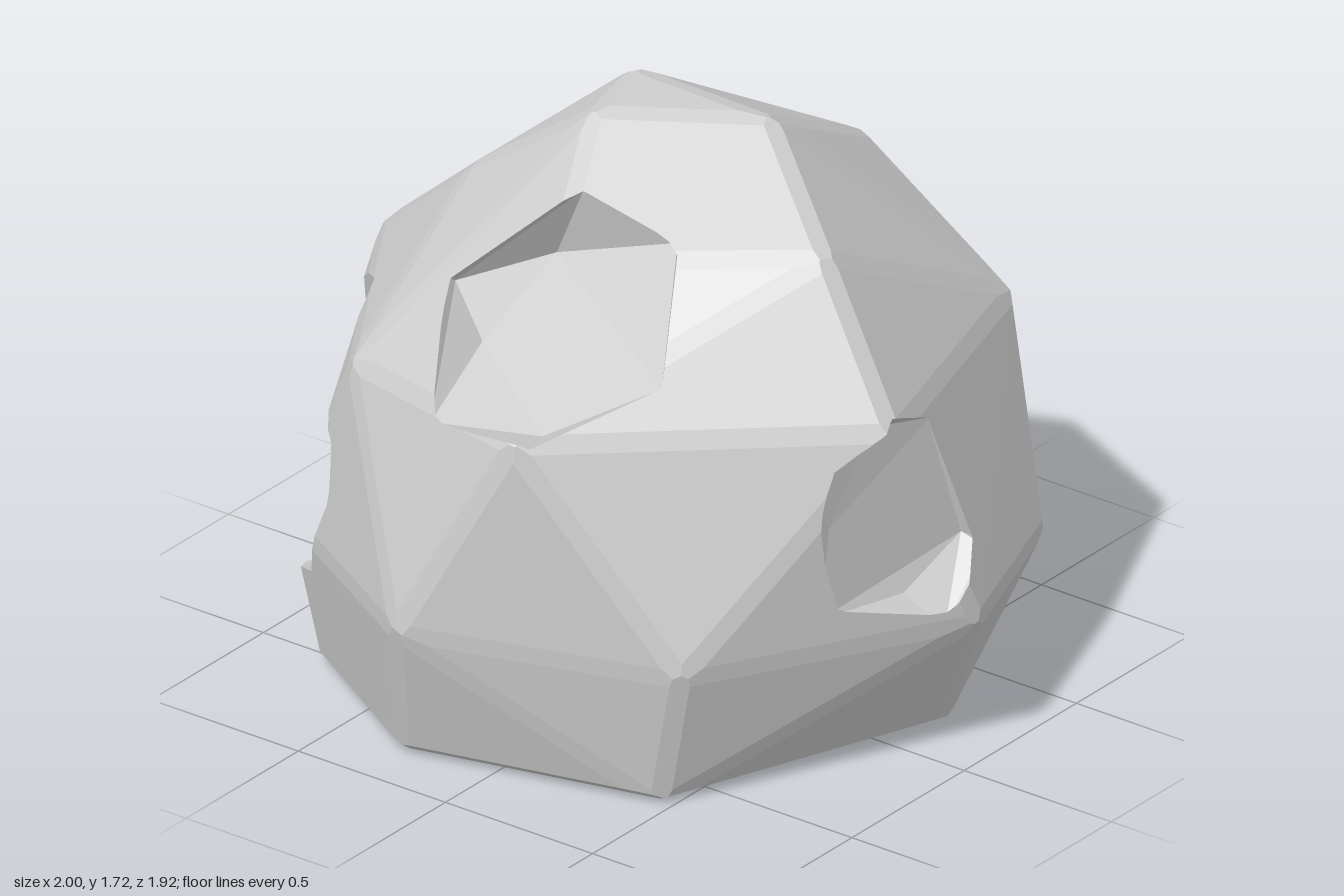
import * as THREE from 'three';
import { ConvexGeometry } from 'three/addons/geometries/ConvexGeometry.js';

const V = (p) => new THREE.Vector3(p[0], p[1], p[2]);

// Corners of the boulder, from top to base
const CORNERS = [
  [-0.2, 1.72, -0.11], [0.28, 1.725, -0.09], [-0.13, 1.725, 0.17],
  [0.63, 1.49, 0.12], [0.18, 1.43, -0.64], [-0.48, 1.48, -0.34], [-0.57, 1.41, 0.14], [0.03, 1.47, 0.55],
  [-1.01, 1.03, -0.04], [-0.56, 1.04, 0.69], [0.14, 1.08, 0.89], [0.92, 1.08, 0.2], [0.6, 1.03, -0.75], [-0.57, 1.05, -0.69],
  [-0.2, 0.44, 0.97], [0.58, 0.43, 0.71], [1.01, 0.43, -0.06], [0.81, 0.43, -0.62], [0.01, 0.45, -0.97],
  [-0.88, 0.4, -0.46], [-0.87, 0.43, 0.57],
  [0.79, 0, -0.2], [0.17, 0, -0.74], [-0.62, 0, -0.6], [-0.79, 0, 0.53], [-0.28, 0, 0.84], [0.47, 0, 0.66],
];

// Each chip: the inner corners of the hollow, its rim, and the way it opens
const CHIPS = [
  {
    name: 'frontChip', open: [0, 0.25, 0.35],
    inner: [[-0.14, 1.35, 0.32], [0.24, 1.48, 0.28], [0.4, 1.2, 0.56], [0.1, 1.02, 0.7], [-0.24, 1.13, 0.52]],
    rim: [[-0.02, 1.59, 0.36], [-0.34, 1.28, 0.51], [-0.18, 1.03, 0.83], [0.18, 1.07, 0.86], [0.33, 1.49, 0.4]],
  },
  {
    name: 'leftChip', open: [0.3, 0, 0],
    inner: [[0.8, 0.81, 0.34], [0.83, 1.07, 0.2], [0.8, 0.55, 0.38], [0.87, 0.54, 0.1], [0.89, 0.64, -0.13], [0.86, 1.02, -0.02]],
    rim: [[0.9, 1.11, 0.17], [0.97, 0.62, -0.13], [0.98, 0.45, 0.06], [0.84, 0.55, 0.39], [0.8, 0.93, 0.4]],
  },
  {
    name: 'rightChip', open: [-0.3, 0, 0.25],
    inner: [[-0.75, 0.93, 0.32], [-0.9, 0.6, 0.3], [-0.63, 0.68, 0.67], [-0.8, 0.28, 0.53]],
    rim: [[-0.98, 0.91, 0.08], [-0.78, 1.1, 0.3], [-0.63, 0.76, 0.67], [-0.63, 0.6, 0.7], [-0.73, 0.32, 0.62],
      [-0.84, 0.26, 0.45], [-0.93, 0.52, 0.08]],
  },
];

// Planes of the convex hull; bevel > 0 adds a narrow plane along each edge
function hullPlanes(points, bevel) {
  const pos = new ConvexGeometry(points).getAttribute('position');
  const planes = [], edges = new Map();
  const key = (v) => v.toArray().map((n) => n.toFixed(4)).join();
  for (let i = 0; i < pos.count; i += 3) {
    const t = [0, 1, 2].map((k) => new THREE.Vector3().fromBufferAttribute(pos, i + k));
    const plane = new THREE.Plane().setFromCoplanarPoints(t[0], t[1], t[2]);
    if (plane.normal.lengthSq() < 0.5) continue;
    addPlane(planes, plane);
    t.forEach((a, k) => {
      const id = [key(a), key(t[(k + 1) % 3])].sort().join('|');
      if (!edges.has(id)) edges.set(id, { a, normals: [] });
      edges.get(id).normals.push(plane.normal);
    });
  }
  if (bevel > 0) {
    for (const { a, normals } of edges.values()) {
      if (normals.length !== 2) continue;
      const angle = normals[0].angleTo(normals[1]);
      if (angle < 0.12) continue;
      const n = normals[0].clone().add(normals[1]).normalize();
      const depth = (bevel / 2) * Math.tan(angle / 2);
      addPlane(planes, new THREE.Plane(n, depth - n.dot(a)));
    }
  }
  return planes;
}

function addPlane(planes, p) {
  const same = (q) => q.normal.dot(p.normal) > 0.99999 && Math.abs(q.constant - p.constant) < 0.002;
  if (!planes.some(same)) planes.push(p);
}

// The part of a polygon on one side of a plane (side -1 is inside, 1 is outside)
function clip(poly, plane, side) {
  const out = [];
  poly.forEach((a, i) => {
    const b = poly[(i + 1) % poly.length];
    const da = plane.distanceToPoint(a) * side, db = plane.distanceToPoint(b) * side;
    if (da >= 0) out.push(a);
    if ((da > 0 && db < 0) || (da < 0 && db > 0)) out.push(a.clone().lerp(b, da / (da - db)));
  });
  return out.length > 2 ? out : [];
}

const clipInside = (poly, planes) => planes.reduce((p, plane) => (p.length ? clip(p, plane, -1) : p), poly);

// Pieces of a polygon left outside a convex solid
function clipOutside(poly, planes) {
  const pieces = [];
  let rest = poly;
  for (const plane of planes) {
    if (!rest.length) break;
    const outer = clip(rest, plane, 1);
    if (outer.length) pieces.push(outer);
    rest = clip(rest, plane, -1);
  }
  return rest.length ? pieces : [poly];
}

// Face polygons of a convex solid, cut from a large square on each plane
function solidFaces(planes) {
  return planes.map((plane) => {
    const n = plane.normal;
    const u = new THREE.Vector3(Math.abs(n.y) < 0.9 ? 0 : 1, Math.abs(n.y) < 0.9 ? 1 : 0, 0).cross(n).normalize();
    const w = n.clone().cross(u);
    const centre = plane.coplanarPoint(new THREE.Vector3());
    const square = [[-1, -1], [1, -1], [1, 1], [-1, 1]].map(([a, b]) =>
      centre.clone().addScaledVector(u, a * 6).addScaledVector(w, b * 6));
    return clipInside(square, planes.filter((p) => p !== plane));
  }).filter((p) => p.length > 2);
}

function polygonMesh(polys, material, name) {
  const data = [];
  for (const p of polys) {
    for (let i = 1; i < p.length - 1; i++) for (const v of [p[0], p[i], p[i + 1]]) data.push(v.x, v.y, v.z);
  }
  const geometry = new THREE.BufferGeometry();
  geometry.setAttribute('position', new THREE.Float32BufferAttribute(data, 3));
  geometry.computeVertexNormals();
  const mesh = new THREE.Mesh(geometry, material);
  mesh.name = name;
  return mesh;
}

export function createModel() {
  const group = new THREE.Group();
  group.name = 'boulder';
  const stone = new THREE.MeshStandardMaterial({ color: 0xcfcfcf });
  stone.name = 'pale grey stone';

  const rock = hullPlanes(CORNERS.map(V), 0.055);
  let skin = solidFaces(rock);

  // Hollow out each chip: open the skin, then line the hollow with reversed faces
  for (const { name, open, inner, rim } of CHIPS) {
    const out = V(open);
    const points = [...inner, ...rim].map(V);
    rim.forEach((p) => points.push(V(p).add(out)));
    const cutter = hullPlanes(points, 0);
    skin = skin.flatMap((poly) => clipOutside(poly, cutter));
    const lining = solidFaces(cutter).map((p) => clipInside(p, rock).slice().reverse()).filter((p) => p.length > 2);
    group.add(polygonMesh(lining, stone, name));
  }

  group.add(polygonMesh(skin, stone, 'rockSurface'));
  return group;
}
